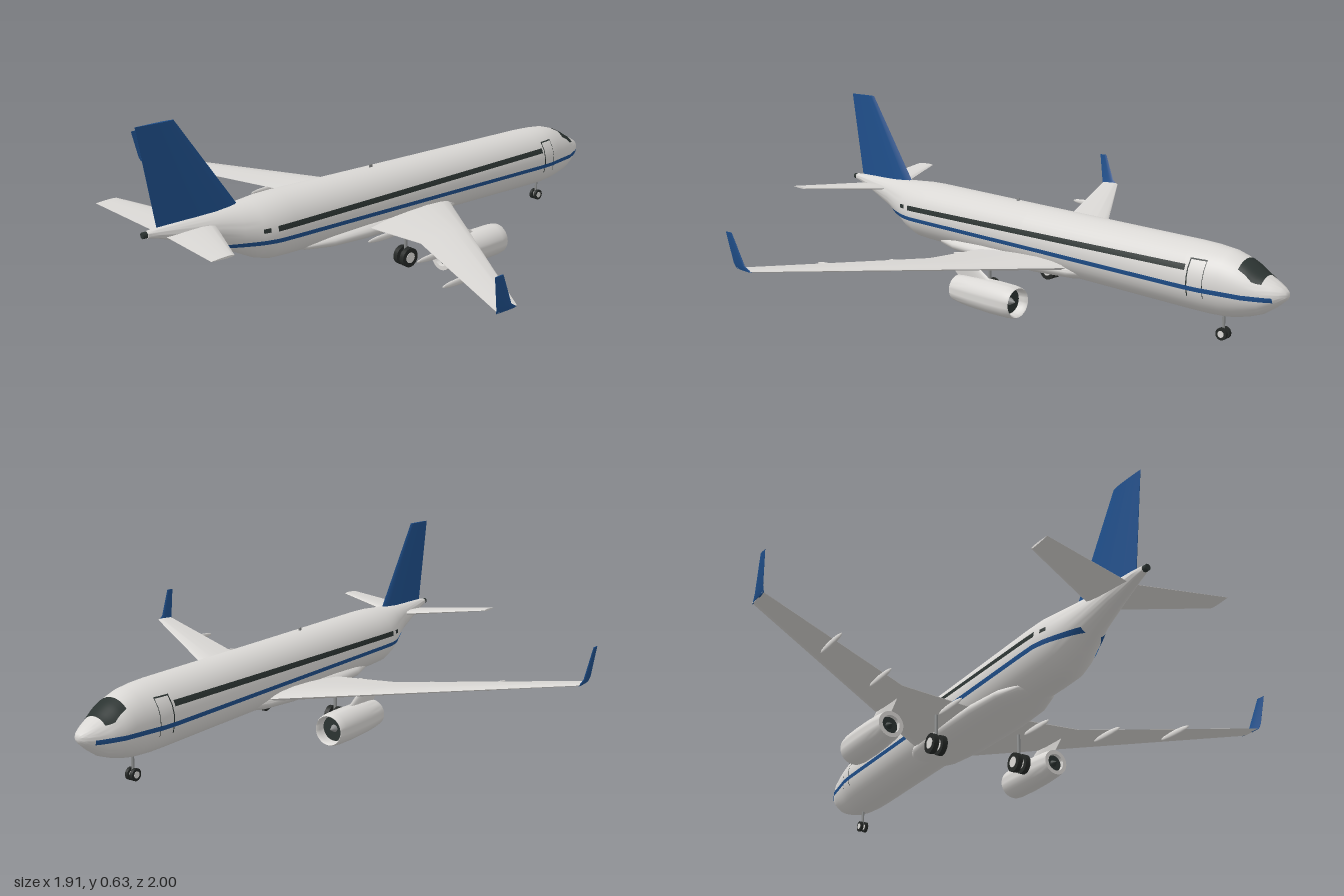
import * as THREE from 'three';
import { toCreasedNormals } from 'three/addons/utils/BufferGeometryUtils.js';

const mat = (name, color, side = THREE.FrontSide) => {
  const m = new THREE.MeshStandardMaterial({ color, side });
  m.name = name;
  return m;
};

// Skin through closed rings of points, capped at both ends and wound outwards
function loft(rings, crease = 0.7) {
  const n = rings[0].length, pos = [], idx = [];
  rings.forEach(r => r.forEach(p => pos.push(...p)));
  for (let i = 0; i < rings.length - 1; i++) for (let j = 0; j < n; j++) {
    const a = i * n + j, b = i * n + (j + 1) % n;
    idx.push(a, b, a + n, b, b + n, a + n);
  }
  [0, rings.length - 1].forEach(i => {
    const c = pos.length / 3;
    pos.push(...[0, 1, 2].map(k => rings[i].reduce((s, p) => s + p[k], 0) / n));
    for (let j = 0; j < n; j++) {
      const a = i * n + j, b = i * n + (j + 1) % n;
      if (i) idx.push(a, b, c); else idx.push(b, a, c);
    }
  });
  const v = i => new THREE.Vector3(pos[3 * i], pos[3 * i + 1], pos[3 * i + 2]);
  let volume = 0;
  for (let i = 0; i < idx.length; i += 3) volume += v(idx[i]).dot(v(idx[i + 1]).cross(v(idx[i + 2])));
  if (volume < 0) idx.reverse();
  const g = new THREE.BufferGeometry();
  g.setAttribute('position', new THREE.Float32BufferAttribute(pos, 3));
  g.setIndex(idx);
  return toCreasedNormals(g, crease);
}

// Aerofoil ring at (x, y) from leading edge z0 to trailing edge z1
const FOIL = [[0, 0], [0.03, 0.42], [0.12, 0.8], [0.3, 1], [0.55, 0.8], [0.8, 0.4], [1, 0.06]];
function foil(x, y, z0, z1, t, upright = false) {
  const half = s => FOIL.map(([c, h]) => {
    const d = s * h * t / 2, z = z0 + (z1 - z0) * c;
    return upright ? [x + d, y, z] : [x, y + d, z];
  });
  return [...half(1), ...half(-1).slice(1).reverse()];
}

// Fuselage stations: z, top, bottom, half width
const BODY = [
  [-1, 0.19, 0.184, 0.003], [-0.994, 0.2, 0.173, 0.016], [-0.98, 0.21, 0.16, 0.03],
  [-0.955, 0.224, 0.139, 0.046], [-0.92, 0.241, 0.115, 0.062], [-0.88, 0.265, 0.1, 0.079],
  [-0.84, 0.284, 0.089, 0.086], [-0.8, 0.296, 0.082, 0.093], [-0.74, 0.302, 0.08, 0.104],
  [-0.68, 0.305, 0.081, 0.107], [0, 0.317, 0.098, 0.107], [0.5, 0.327, 0.108, 0.107],
  [0.57, 0.326, 0.112, 0.106], [0.62, 0.322, 0.128, 0.096], [0.68, 0.319, 0.16, 0.076],
  [0.75, 0.316, 0.197, 0.055], [0.85, 0.313, 0.238, 0.038], [0.95, 0.309, 0.275, 0.02],
  [0.985, 0.306, 0.283, 0.012]];
function bodyAt(z) {
  let i = 0;
  while (i < BODY.length - 2 && BODY[i + 1][0] < z) i++;
  const a = BODY[i], b = BODY[i + 1], f = (z - a[0]) / (b[0] - a[0]);
  const [top, bottom, rx] = [1, 2, 3].map(k => a[k] + (b[k] - a[k]) * f);
  return { yc: (top + bottom) / 2, ry: (top - bottom) / 2, rx };
}
const ellipse = (z, yc, rx, ry, n = 48) => Array.from({ length: n }, (_, j) => {
  const a = j / n * Math.PI * 2;
  return [rx * Math.cos(a), yc + ry * Math.sin(a), z];
});

// Thin painted patch: point(u, z) gives its x and y
function patch(z0, z1, nz, nu, point) {
  const g = new THREE.PlaneGeometry(1, 1, nu, nz), p = g.attributes.position;
  for (let i = 0; i < p.count; i++) {
    const u = p.getX(i) + 0.5, z = z0 + (z1 - z0) * (0.5 - p.getY(i));
    const [x, y] = point(u, z);
    p.setXYZ(i, x, y, z);
  }
  g.computeVertexNormals();
  return g;
}
const LIFT = 0.002;
// Point on the body's side at height y
function sidePoint(s, y, z) {
  const { yc, rx, ry } = bodyAt(z);
  const a = Math.asin(THREE.MathUtils.clamp((y - yc) / (ry + LIFT), -1, 1));
  return [s * (rx + LIFT) * Math.cos(a), yc + (ry + LIFT) * Math.sin(a)];
}

export function createModel() {
  const white = mat('white paint', 0xd9d7d4);
  const blue = mat('blue paint', 0x1f4f8b, THREE.DoubleSide);
  const glass = mat('dark glass', 0x2b3331, THREE.DoubleSide);
  const rubber = mat('tyre rubber', 0x252826);
  const metal = mat('grey metal', 0x8c8e8e);
  const model = new THREE.Group();
  model.name = 'airliner';
  const add = (name, geo, m, x = 0, y = 0, z = 0) => {
    const mesh = new THREE.Mesh(geo, m);
    mesh.name = name;
    mesh.position.set(x, y, z);
    model.add(mesh);
    return mesh;
  };

  // Body, belly fairing and tail exhaust
  add('fuselage', loft(BODY.map(([z]) => {
    const b = bodyAt(z);
    return ellipse(z, b.yc, b.rx, b.ry);
  })), white);
  const belly = [[-0.32, 0.02, 0.01], [-0.28, 0.06, 0.025], [-0.2, 0.095, 0.037], [-0.05, 0.112, 0.042],
    [0.2, 0.112, 0.04], [0.34, 0.1, 0.034], [0.43, 0.07, 0.024], [0.48, 0.02, 0.01]];
  add('bellyFairing', loft(belly.map(([z, rx, ry]) => ellipse(z, 0.131, rx, ry, 32))), white);
  add('tailExhaust', new THREE.CylinderGeometry(0.01, 0.011, 0.03, 16).rotateX(Math.PI / 2), glass, 0, 0.295, 0.985);
  add('antenna', new THREE.BoxGeometry(0.004, 0.014, 0.012), metal, 0, 0.322, 0.1);

  // Windscreen
  add('windscreen', patch(-0.93, -0.855, 8, 16, (u, z) => {
    const { yc, rx, ry } = bodyAt(z);
    const w = Math.min(0.045 + (z + 0.93) * 0.5, 0.058), x = (u * 2 - 1) * w;
    return [x, yc + (ry + LIFT) * Math.sqrt(1 - (x / (rx + LIFT)) ** 2)];
  }), glass);

  // Fin
  add('fin', loft([foil(0, 0.285, 0.637, 0.946, 0.026, true), foil(0, 0.63, 0.87, 1, 0.01, true)]), blue);

  for (const s of [1, -1]) {
    const side = s > 0 ? 'left' : 'right';
    const band = (name, m, z0, z1, nz, low, high) => add(side + name,
      patch(z0, z1, nz, 4, (u, z) => sidePoint(s, low(z) + (high - 0) * u, z)), m);

    // Painted stripe, window row and door outlines
    band('Stripe', blue, -0.965, 0.735, 100, z => 0.182 + z * 0.017, 0.015);
    band('WindowRow', glass, -0.69, 0.575, 40, () => 0.231, 0.018);
    band('RearWindow', glass, 0.6, 0.625, 3, () => 0.233, 0.014);
    band('DoorRearEdge', glass, -0.703, -0.699, 1, () => 0.15, 0.118);
    band('DoorFrontEdge', glass, -0.757, -0.755, 1, () => 0.15, 0.118);
    band('DoorTopEdge', glass, -0.757, -0.699, 3, () => 0.265, 0.004);

    // Wing, winglet and tailplane
    add(side + 'Wing', loft([
      foil(0, 0.14, -0.26, 0.19, 0.042), foil(s * 0.105, 0.145, -0.19, 0.19, 0.038),
      foil(s * 0.35, 0.161, -0.023, 0.19, 0.022), foil(s * 0.94, 0.2, 0.38, 0.458, 0.008)]), white);
    add(side + 'Winglet', loft([
      foil(s * 0.938, 0.197, 0.38, 0.462, 0.007, true), foil(s * 0.944, 0.215, 0.408, 0.468, 0.006, true),
      foil(s * 0.954, 0.318, 0.455, 0.488, 0.004, true)]), blue);
    add(side + 'Tailplane', loft([
      foil(0, 0.276, 0.747, 0.925, 0.02), foil(s * 0.33, 0.305, 0.895, 0.973, 0.007)]), white);

    // Flap track fairings
    for (const [x, y, end] of [[0.17, 0.132, 0.26], [0.445, 0.154, 0.295], [0.665, 0.17, 0.4]])
      add(side + 'FlapFairing', new THREE.SphereGeometry(1, 12, 10).scale(0.006, 0.011, 0.075), white, s * x, y, end - 0.075);

    // Engine with open intake and exhaust
    const ex = s * 0.327, ey = 0.075;
    const turned = pts => toCreasedNormals(
      new THREE.LatheGeometry(pts.map(p => new THREE.Vector2(...p)), 40).rotateX(Math.PI / 2), 0.7);
    add(side + 'Nacelle', turned([[0.042, -0.16], [0.043, -0.185], [0.046, -0.197], [0.049, -0.2], [0.052, -0.194],
      [0.055, -0.17], [0.056, -0.1], [0.054, -0.02], [0.05, 0.04], [0.045, 0.075], [0.031, 0.075], [0.03, 0.055]]), white, ex, ey);
    add(side + 'Fan', new THREE.CircleGeometry(0.043, 40).rotateY(Math.PI), glass, ex, ey, -0.165);
    add(side + 'Spinner', new THREE.ConeGeometry(0.013, 0.025, 20).rotateX(-Math.PI / 2), metal, ex, ey, -0.177);
    add(side + 'Exhaust', new THREE.CircleGeometry(0.031, 32), glass, ex, ey, 0.06);
    add(side + 'ExhaustCone', new THREE.ConeGeometry(0.014, 0.025, 20).rotateX(Math.PI / 2), glass, ex, ey, 0.07);
    add(side + 'Pylon', loft([
      foil(ex, 0.115, -0.1, 0.07, 0.016, true), foil(ex, 0.158, -0.03, 0.12, 0.016, true)]), white);

    // Main landing gear
    const gx = s * 0.164;
    add(side + 'MainStrut', new THREE.CylinderGeometry(0.006, 0.006, 0.11, 12), metal, gx, 0.09, 0.085);
    wheels(side + 'Main', gx, 0.034, 0.085, 0.034, 0.018, 0.016);
  }

  // Nose landing gear
  add('noseStrut', new THREE.CylinderGeometry(0.005, 0.005, 0.08, 12), metal, 0, 0.06, -0.775);
  wheels('nose', 0, 0.02, -0.775, 0.02, 0.01, 0.01);

  // Pair of tyres with hubs on one axle
  function wheels(name, x, y, z, r, width, gap) {
    const disc = (rad, len) => new THREE.CylinderGeometry(rad, rad, len, 28).rotateZ(Math.PI / 2);
    add(name + 'Axle', disc(r * 0.15, gap * 2), metal, x, y, z);
    for (const k of [-1, 1]) {
      add(name + 'Tyre', disc(r, width), rubber, x + k * gap, y, z);
      add(name + 'Hub', disc(r * 0.55, width + 0.003), white, x + k * gap, y, z);
    }
  }
  return model;
}
